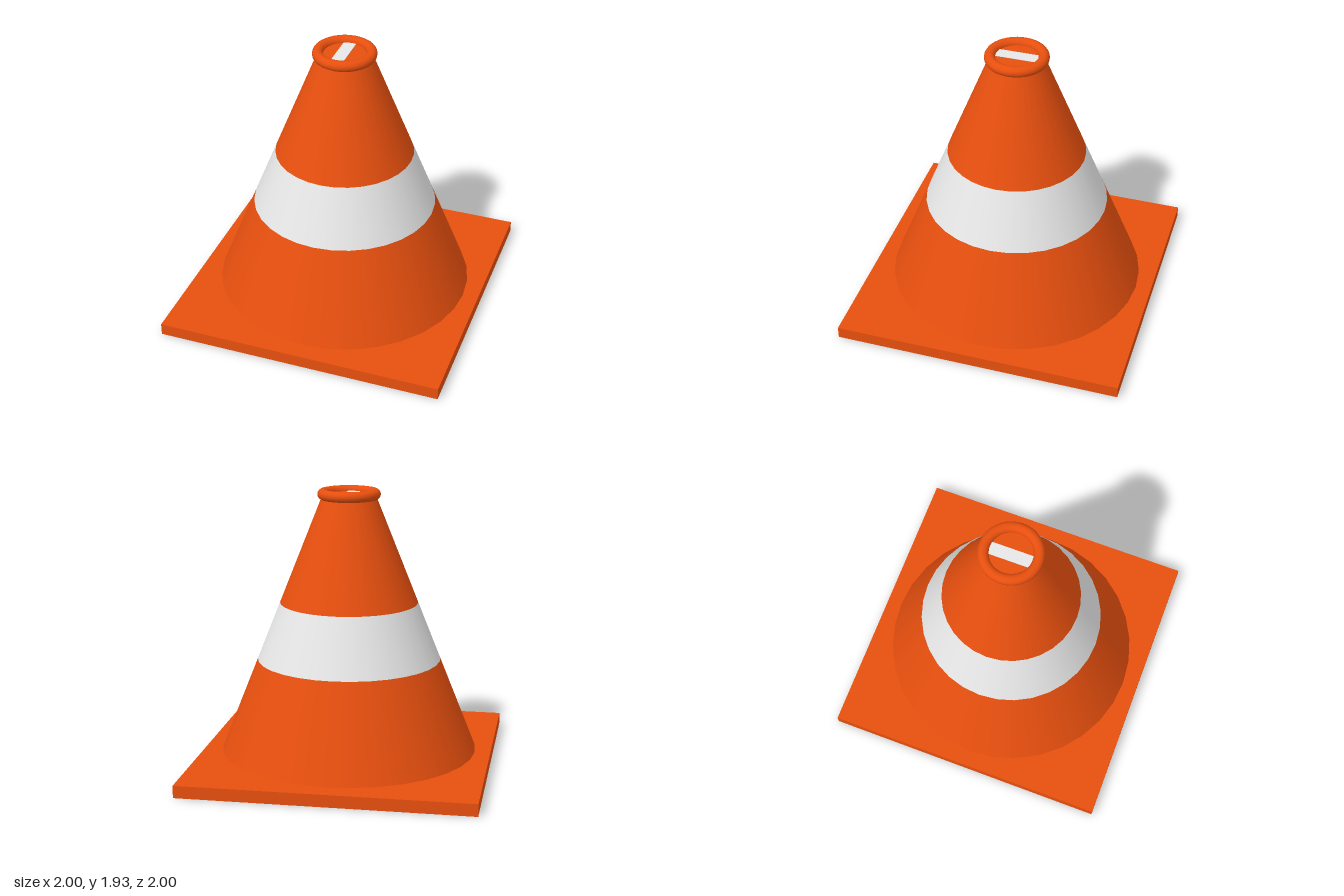
import * as THREE from 'three';

const SIDES = 32;
const BOTTOM = { y: 0.097, r: 0.893 };
const TOP = { y: 1.89, r: 0.18 };

// Radius of the cone wall at a given height
const radiusAt = (y) =>
  THREE.MathUtils.mapLinear(y, BOTTOM.y, TOP.y, BOTTOM.r, TOP.r);

export function createModel() {
  const orange = new THREE.MeshStandardMaterial({ color: 0xff5811 });
  orange.name = 'safetyOrange';
  const white = new THREE.MeshStandardMaterial({ color: 0xffffff });
  white.name = 'reflectiveWhite';

  const model = new THREE.Group();
  model.name = 'trafficCone';

  const add = (name, geometry, material, y, x = 0) => {
    const mesh = new THREE.Mesh(geometry, material);
    mesh.name = name;
    mesh.position.set(x, y, 0);
    model.add(mesh);
    return mesh;
  };

  // Square base, with the cone floating just above it
  add('base', new THREE.BoxGeometry(2, 0.085, 2), orange, 0.0425);

  // Cone wall in three bands
  const bands = [
    ['lowerCone', BOTTOM.y, 0.74, orange],
    ['whiteBand', 0.74, 1.14, white],
    ['upperCone', 1.14, TOP.y, orange],
  ];
  for (const [name, y0, y1, material] of bands) {
    const wall = new THREE.CylinderGeometry(radiusAt(y1), radiusAt(y0), y1 - y0, SIDES, 1, true);
    add(name, wall, material, (y0 + y1) / 2);
  }

  // Discs closing the cone at both ends
  add('topCap', new THREE.CircleGeometry(TOP.r, SIDES), orange, TOP.y).rotation.x = -Math.PI / 2;
  add('bottomCap', new THREE.CircleGeometry(BOTTOM.r, SIDES), orange, BOTTOM.y).rotation.x = Math.PI / 2;

  // White stripe across the top cap, its ends tucked into the rim
  add('capStripe', new THREE.BoxGeometry(0.085, 0.004, 0.32), white, TOP.y + 0.001, -0.012);

  // Rounded rim
  add('rim', new THREE.TorusGeometry(0.18, 0.037, 16, 48), orange, TOP.y).rotation.x = Math.PI / 2;

  return model;
}
